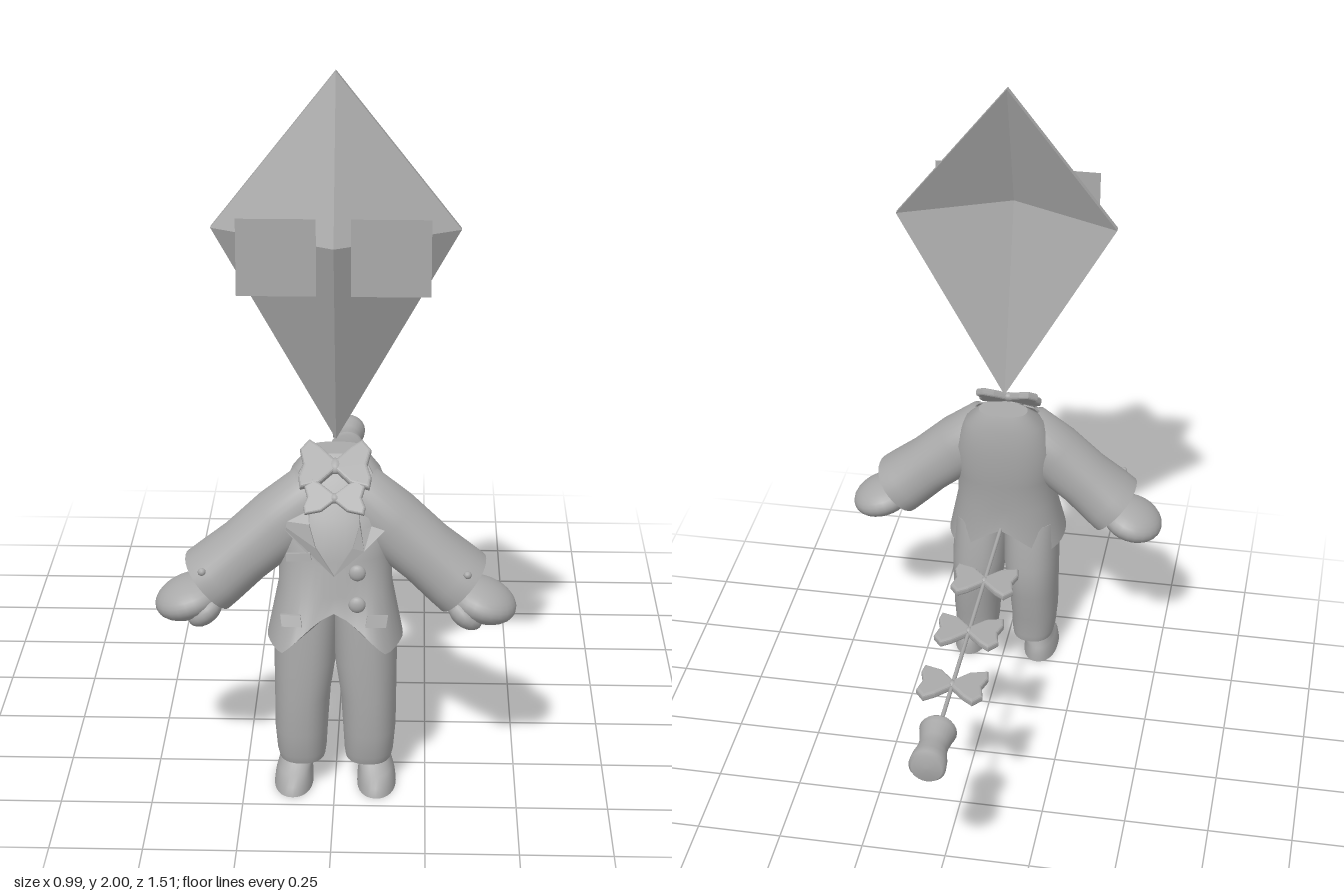
import * as THREE from 'three';

const grey = new THREE.MeshStandardMaterial({ color: 0xaaaaaa });
grey.name = 'grey';
const greyFlat = grey.clone();
greyFlat.flatShading = true;
greyFlat.side = THREE.DoubleSide;

function add(parent, name, geometry, x = 0, y = 0, z = 0, material = grey) {
  const mesh = new THREE.Mesh(geometry, material);
  mesh.name = name;
  mesh.position.set(x, y, z);
  parent.add(mesh);
  return mesh;
}

const pw = (v, e) => Math.sign(v) * Math.abs(v) ** e;

// Rows run downwards: [y, centre x, half width, back z, front z]; warp may move the points of the last row
function loft(rows, p = 2.4, n = 32, warp = null) {
  const pos = [], idx = [];
  const ringPoint = (i, j) => {
    const [y, cx, rx, z0, z1] = rows[i], a = (j % n) / n * Math.PI * 2;
    const v = new THREE.Vector3(cx + rx * pw(Math.sin(a), 2 / p), y,
      (z0 + z1) / 2 + (z1 - z0) / 2 * pw(Math.cos(a), 2 / p));
    if (warp && i === rows.length - 1) warp(v, a > Math.PI ? a - 2 * Math.PI : a);
    return v;
  };
  rows.forEach((r, i) => { for (let j = 0; j < n; j++) pos.push(...ringPoint(i, j).toArray()); });
  for (let i = 0; i < rows.length - 1; i++) for (let j = 0; j < n; j++) {
    const a = i * n + j, c = i * n + (j + 1) % n;
    idx.push(a, a + n, c, c, a + n, c + n);
  }
  for (const i of [0, rows.length - 1]) {
    const start = pos.length / 3, [y, cx, , z0, z1] = rows[i];
    pos.push(cx, y, (z0 + z1) / 2);
    for (let j = 0; j < n; j++) pos.push(...ringPoint(i, j).toArray());
    for (let j = 0; j < n; j++) {
      const a = start + 1 + j, b = start + 1 + (j + 1) % n;
      idx.push(start, ...(i === 0 ? [a, b] : [b, a]));
    }
  }
  const g = new THREE.BufferGeometry();
  g.setAttribute('position', new THREE.Float32BufferAttribute(pos, 3));
  g.setIndex(idx);
  g.computeVertexNormals();
  return g;
}

const torsoRows = [
  [0.95, 0, 0.075, 0.44, 0.53], [0.9, 0, 0.12, 0.425, 0.59], [0.81, 0, 0.16, 0.42, 0.66],
  [0.7, 0, 0.152, 0.43, 0.69], [0.6, 0, 0.155, 0.45, 0.7], [0.52, 0, 0.185, 0.445, 0.755],
];

// Height of the jacket hem: notched at the front and the back
const hem = [[0, 0.56], [0.8, 0.455], [1.57, 0.455], [2.45, 0.435], [Math.PI + 0.01, 0.53]];
function shapeHem(v, a) {
  const t = Math.abs(a), k = hem.findIndex((h, i) => i > 0 && t <= h[0]);
  const [a0, y0] = hem[k - 1], [a1, y1] = hem[k];
  v.y = y0 + (y1 - y0) * (t - a0) / (a1 - a0);
  if (t < Math.PI / 2) v.z -= 0.04 * Math.cos(4 * a) * Math.cos(a);
}

// Front surface of the jacket
function frontZ(x, y) {
  let k = torsoRows.findIndex((r, i) => i > 0 && y >= r[0]);
  if (k < 0) k = torsoRows.length - 1;
  const A = torsoRows[k - 1], B = torsoRows[k], t = (A[0] - y) / (A[0] - B[0]);
  const m = i => A[i] + (B[i] - A[i]) * t;
  const u = Math.min(Math.abs(x) / m(2), 0.8);
  return (m(3) + m(4)) / 2 + (m(4) - m(3)) / 2 * (1 - u ** 2.4) ** (1 / 2.4);
}

// Thin cloth piece laid on the jacket front
function patch(points, depth = 0.009, lift = 0.004) {
  const shape = new THREE.Shape(points.map(p => new THREE.Vector2(...p)));
  const g = new THREE.ExtrudeGeometry(shape, { depth, bevelEnabled: false });
  const p = g.attributes.position;
  for (let i = 0; i < p.count; i++) p.setZ(i, p.getZ(i) + lift + frontZ(p.getX(i), p.getY(i)));
  g.computeVertexNormals();
  return g;
}

// Bow of two padded wings and a knot, lying in the xy plane
function bow(name, knotSize) {
  const g = new THREE.Group();
  g.name = name;
  const wing = [[0.008, 0.012], [0.045, 0.05], [0.07, 0.068], [0.088, 0.045], [0.078, 0],
    [0.09, -0.04], [0.087, -0.062], [0.045, -0.05], [0.008, -0.012]];
  for (const s of [-1, 1]) {
    const pts = wing.map(([x, y]) => new THREE.Vector2(s * x, y));
    add(g, 'bowWing', new THREE.ExtrudeGeometry(new THREE.Shape(pts),
      { depth: 0.008, bevelThickness: 0.008, bevelSize: 0.008, bevelSegments: 3 }), 0, 0, -0.004);
  }
  add(g, 'bowKnot', new THREE.SphereGeometry(1, 12, 8)).scale.set(knotSize, knotSize * 1.2, 0.015);
  return g;
}

// Hollow kite: raised front, sunken back, thin rim
function kite() {
  const rim = [[0, 2], [-0.33, 1.58], [0, 0.99], [0.33, 1.58]];
  const pos = [];
  rim.forEach((a, i) => {
    const b = rim[(i + 1) % 4];
    const F = [...a, 0.525], G = [...b, 0.525], f = [...a, 0.505], g = [...b, 0.505];
    pos.push(0, 1.58, 0.715, ...F, ...G, 0, 1.58, 0.65, ...g, ...f, ...F, ...f, ...G, ...G, ...f, ...g);
  });
  const geo = new THREE.BufferGeometry();
  geo.setAttribute('position', new THREE.Float32BufferAttribute(pos, 3));
  geo.computeVertexNormals();
  return geo;
}

export function createModel() {
  const model = new THREE.Group();
  model.name = 'kiteHeadFigure';

  // Head and square lenses
  add(model, 'kiteHead', kite(), 0, 0, 0, greyFlat);
  for (const s of [-1, 1])
    add(model, 'squareLens', new THREE.PlaneGeometry(0.206, 0.206), s * 0.148, 1.557, 0.715, greyFlat);

  // Jacket
  add(model, 'jacket', loft(torsoRows, 2.4, 48, shapeHem));
  for (const s of [-1, 1]) {
    const flip = pts => (s > 0 ? pts : pts.map(([x, y]) => [-x, y]));
    add(model, 'lapel', patch(flip([[0.05, 0.925], [0.085, 0.93], [0.125, 0.87], [0.16, 0.8],
      [0.08, 0.73], [0, 0.665], [0.05, 0.74], [0.068, 0.8], [0.06, 0.86]])));
    add(model, 'pocketFlap', patch(flip([[0.085, 0.535], [0.14, 0.525], [0.145, 0.55], [0.09, 0.56]])));
  }
  add(model, 'breastPocket', patch([[-0.13, 0.69], [-0.06, 0.705], [-0.065, 0.725], [-0.13, 0.71]]));
  for (const y of [0.67, 0.585])
    add(model, 'button', new THREE.SphereGeometry(0.023, 16, 10), 0.062, y, frontZ(0.062, y) + 0.004).scale.z = 0.6;

  // Bow tie with tails
  const tie = bow('bowTie', 0.02);
  tie.position.set(0, 0.936, 0.585);
  tie.rotation.x = -0.9;
  const tails = bow('bowTails', 0.018);
  tails.position.set(0, 0.87, 0.652);
  tails.rotation.x = -0.6;
  tails.scale.set(0.85, 0.65, 0.8);
  model.add(tie, tails);

  // Arms, legs and shoes
  for (const s of [-1, 1]) {
    const arm = new THREE.Group();
    arm.name = s > 0 ? 'leftArm' : 'rightArm';
    arm.position.set(s * 0.058, 0.845, 0.565);
    arm.rotation.z = s * 0.854;
    add(arm, 'sleeve', loft([[0.03, 0, 0.05, -0.06, 0.05], [0, 0, 0.085, -0.1, 0.075],
      [-0.12, 0, 0.093, -0.1, 0.09], [-0.25, 0, 0.088, -0.095, 0.095],
      [-0.34, 0, 0.092, -0.108, 0.112], [-0.385, 0, 0.094, -0.108, 0.112]], 2.2));
    add(arm, 'cuffButton', new THREE.SphereGeometry(0.011, 10, 8), s * 0.055, -0.35, 0.1);
    model.add(arm);

    const hand = add(model, 'hand', new THREE.SphereGeometry(1, 24, 16), s * 0.4, 0.543, 0.57);
    hand.scale.set(0.098, 0.055, 0.107);
    hand.rotation.z = -s * 0.3;
    const thumb = add(model, 'thumb', new THREE.SphereGeometry(1, 16, 12), s * 0.355, 0.523, 0.62);
    thumb.scale.set(0.055, 0.036, 0.05);
    thumb.rotation.z = -s * 0.7;

    add(model, 'trouserLeg', loft([[0.53, s * 0.078, 0.085, 0.47, 0.68], [0.38, s * 0.083, 0.086, 0.445, 0.685],
      [0.27, s * 0.091, 0.077, 0.453, 0.682], [0.17, s * 0.094, 0.073, 0.478, 0.68],
      [0.1, s * 0.093, 0.068, 0.485, 0.668], [0.078, s * 0.092, 0.064, 0.49, 0.66]], 2.4));
    add(model, 'shoe', loft([[0.12, s * 0.1, 0.04, 0.515, 0.6], [0.07, s * 0.105, 0.045, 0.505, 0.63],
      [0.05, s * 0.112, 0.047, 0.495, 0.68], [0.025, s * 0.114, 0.052, 0.49, 0.702],
      [0, s * 0.115, 0.054, 0.49, 0.71]], 2.2));
  }

  // Tail rod with bows and a waisted end
  const rod = add(model, 'tailRod', new THREE.CylinderGeometry(0.006, 0.006, 1.06, 10), 0, 0.532, -0.06);
  rod.rotation.x = Math.PI / 2;
  for (const z of [0.158, -0.106, -0.37]) {
    const b = bow('tailBow', 0.012);
    b.position.set(0, 0.532, z);
    b.rotation.x = -Math.PI / 2;
    model.add(b);
  }
  const profile = [[0, -0.092], [0.044, -0.09], [0.053, -0.078], [0.051, -0.05], [0.042, -0.01], [0.042, 0.02],
    [0.05, 0.065], [0.054, 0.08], [0.048, 0.09], [0, 0.091]].map(p => new THREE.Vector2(...p));
  add(model, 'tailEnd', new THREE.LatheGeometry(profile, 24), 0, 0.532, -0.664).rotation.x = Math.PI / 2;
  return model;
}
